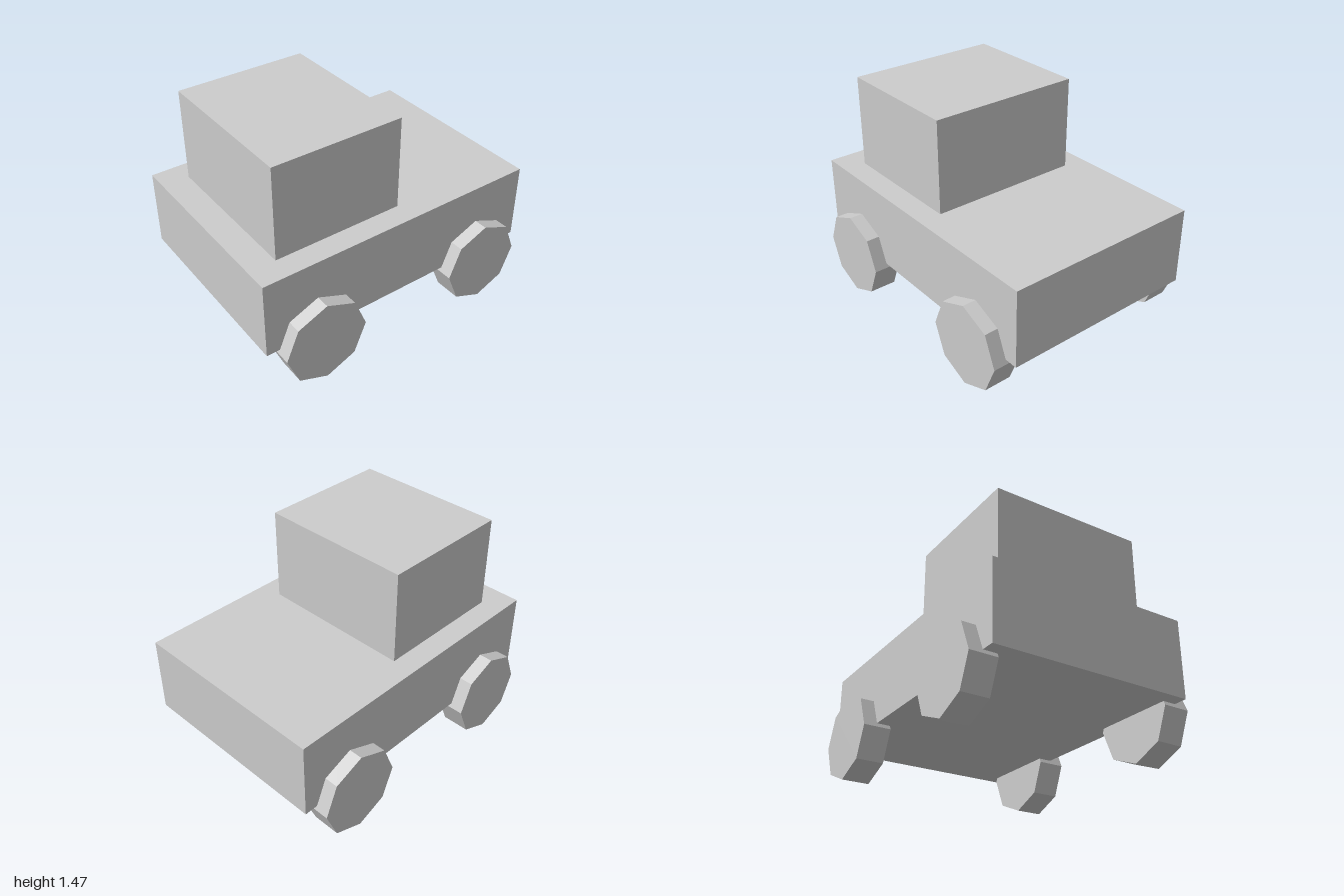
import * as THREE from 'three';

export function createModel() {
  const model = new THREE.Group();
  model.name = 'truck';
  const grey = new THREE.MeshStandardMaterial({ color: 0xcccccc, flatShading: true });
  grey.name = 'light grey';

  function add(name, geometry, x, y, z) {
    const mesh = new THREE.Mesh(geometry, grey);
    mesh.name = name;
    mesh.position.set(x, y, z);
    model.add(mesh);
  }

  // Body slab and the cab standing towards its front
  add('body', new THREE.BoxGeometry(1.364, 0.526, 2), 0, 0.582, 0);
  add('cab', new THREE.BoxGeometry(1.052, 0.632, 0.895), 0, 1.16, 0.367);

  // Eight-sided wheels, axle along x, partly sunk into the body
  const wheel = new THREE.CylinderGeometry(0.288, 0.288, 0.184, 8).rotateZ(Math.PI / 2);
  for (const [side, x] of [['Left', 0.682], ['Right', -0.682]]) {
    for (const [end, z] of [['front', 0.632], ['back', -0.632]]) {
      add(`${end}${side}Wheel`, wheel, x, 0.292, z);
    }
  }
  return model;
}
